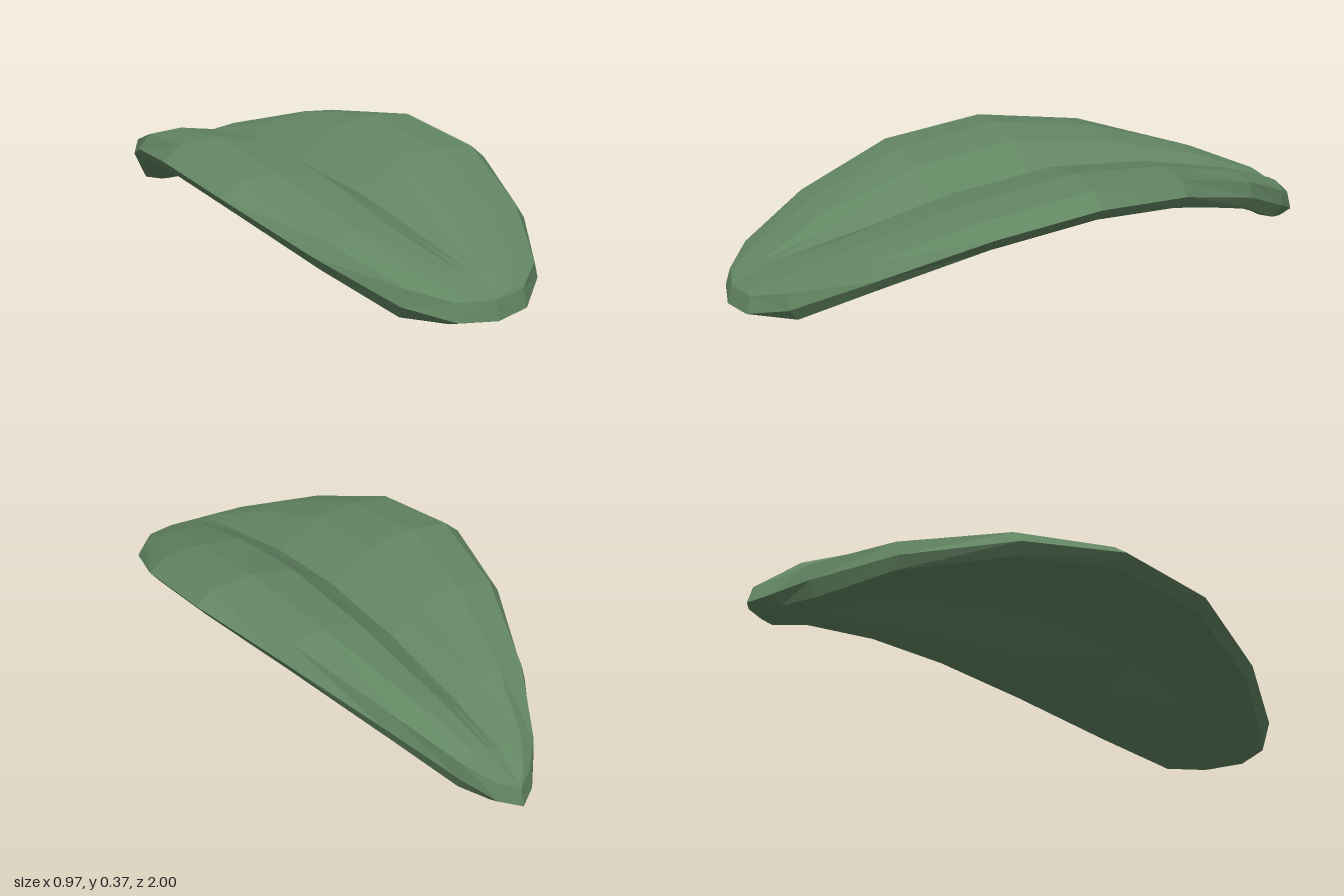
import * as THREE from 'three';

// Cross-sections from the rear point to the rounded front:
// [z, half width, rim height, ridge height, crease height, underside crease height, underside z]
const SECTIONS = [
  [-1.00, 0.000, 0.015, 0.068, 0.065, 0.003, -0.90],
  [-0.96, 0.060, 0.030, 0.098, 0.092, 0.010, -0.88],
  [-0.88, 0.125, 0.075, 0.150, 0.140, 0.030, -0.82],
  [-0.67, 0.250, 0.175, 0.237, 0.180, 0.060, -0.66],
  [-0.34, 0.395, 0.275, 0.328, 0.230, 0.105, -0.34],
  [0.00, 0.485, 0.315, 0.370, 0.248, 0.130, 0.00],
  [0.34, 0.480, 0.275, 0.326, 0.225, 0.100, 0.34],
  [0.66, 0.375, 0.167, 0.222, 0.165, 0.047, 0.65],
  [0.88, 0.240, 0.064, 0.127, 0.120, 0.020, 0.82],
  [0.975, 0.120, 0.024, 0.084, 0.080, 0.006, 0.88],
  [1.00, 0.000, 0.015, 0.070, 0.070, 0.003, 0.89],
];

// Half of a section, from the top crease around the rim to the underside crease
function halfSection([z, w, rim, ridge, crease, under, zu]) {
  const mix = THREE.MathUtils.lerp;
  const lip = w - 0.055 * Math.min(1, w / 0.48) ** 2;
  const lipY = Math.min(ridge, rim + mix(0.055, 0.043, w / 0.485));
  const low = Math.max(under, rim - 0.04);
  const zt = z - Math.sign(z) * (Math.abs(z) > 0.9 ? 0.015 : 0);
  return [
    [0, crease, zt],
    [w * 0.12, mix(crease, ridge, 0.3), zt],
    [w * 0.30, mix(crease, ridge, 0.8), zt],
    [w * 0.61, ridge, zt],
    [lip, lipY, zt],
    [w, rim, z],
    [w * 0.93, low, mix(z, zu, 0.5)],
    [w * 0.61, mix(under, low, 0.92), zu],
    [w * 0.30, mix(under, low, 0.6), zu],
    [0, under, zu],
  ];
}

// Skin over the sections, with the second half mirrored into a closed ring
function leafGeometry() {
  const rings = SECTIONS.map((s) => {
    const half = halfSection(s);
    const mirrored = half.slice(1, -1).reverse().map(([x, y, z]) => [-x, y, z]);
    return [...half, ...mirrored];
  });
  const n = rings[0].length;
  const positions = rings.flat(2);
  const index = [];
  for (let i = 0; i < rings.length - 1; i++) {
    for (let j = 0; j < n; j++) {
      const a = i * n + j;
      const b = i * n + ((j + 1) % n);
      const c = a + n;
      const d = b + n;
      // Diagonals mirror across the crease
      if (j < n / 2) index.push(a, c, b, b, c, d);
      else index.push(a, d, b, a, c, d);
    }
  }
  const geometry = new THREE.BufferGeometry();
  geometry.setAttribute('position', new THREE.Float32BufferAttribute(positions, 3));
  geometry.setIndex(index);
  geometry.computeVertexNormals();
  return geometry;
}

export function createModel() {
  const group = new THREE.Group();
  group.name = 'leaf';
  const material = new THREE.MeshStandardMaterial({
    color: 0x628562,
    flatShading: true,
    side: THREE.DoubleSide,
  });
  const blade = new THREE.Mesh(leafGeometry(), material);
  blade.name = 'leafBlade';
  group.add(blade);
  return group;
}
